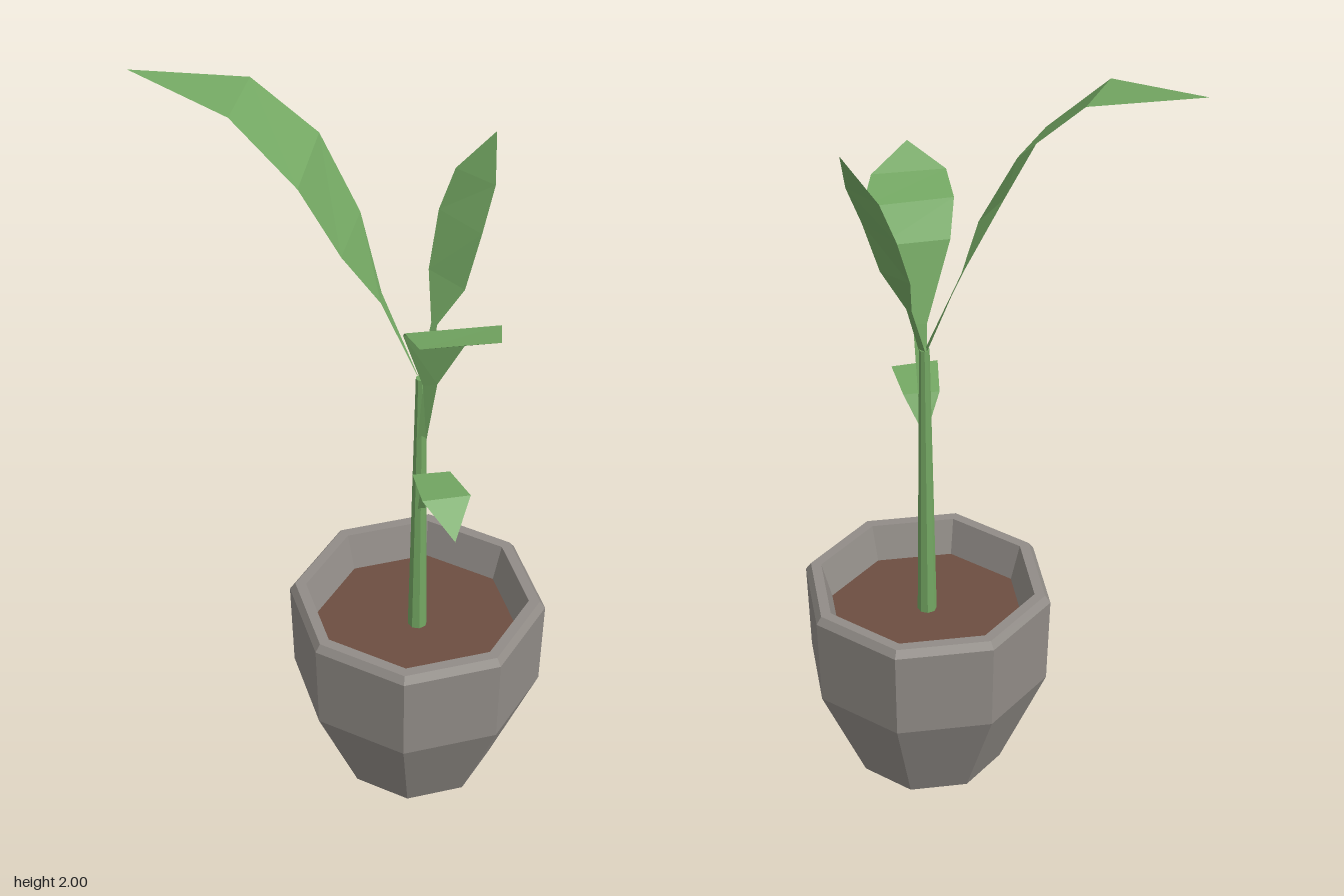
import * as THREE from 'three';

const mat = (name, color, side = THREE.FrontSide) =>
  Object.assign(new THREE.MeshStandardMaterial({ color, flatShading: true, side }), { name });

// Each row is a cross-section from stalk to tip: [right edge, left edge]; a single point closes the blade
function leafGeometry(rows, tip) {
  const sections = [...rows, [tip, tip]];
  const pos = [];
  for (let i = 0; i < sections.length - 1; i++) {
    const [r0, l0] = sections[i];
    const [r1, l1] = sections[i + 1];
    pos.push(...r0, ...r1, ...l0);
    if (r1 !== l1) pos.push(...l0, ...r1, ...l1);
  }
  const g = new THREE.BufferGeometry();
  g.setAttribute('position', new THREE.Float32BufferAttribute(pos, 3));
  g.computeVertexNormals();
  return g;
}

export function createModel() {
  const model = new THREE.Group();
  model.name = 'pottedPlant';
  const potMat = mat('stone grey', 0x918c87);
  const soilMat = mat('soil brown', 0x6d4e41);
  const leafMat = mat('leaf green', 0x74a863, THREE.DoubleSide);

  const add = (name, geometry, material, x = 0, y = 0, z = 0) => {
    const mesh = new THREE.Mesh(geometry, material);
    mesh.name = name;
    mesh.position.set(x, y, z);
    model.add(mesh);
    return mesh;
  };

  // Eight-sided pot with a bevelled rim and an inner wall
  const turn = THREE.MathUtils.degToRad(27);
  const profile = [[0, 0], [0.195, 0], [0.318, 0.285], [0.326, 0.525], [0.312, 0.545], [0.284, 0.545], [0.254, 0.44]]
    .map(([r, y]) => new THREE.Vector2(r, y));
  add('pot', new THREE.LatheGeometry(profile, 8, turn), potMat, 0.153);
  add('soil', new THREE.CylinderGeometry(0.257, 0.255, 0.03, 8).rotateY(turn), soilMat, 0.153, 0.435);

  // Tapered stem
  add('stem', new THREE.CylinderGeometry(0.013, 0.025, 0.79, 8), leafMat, 0.158, 0.835, 0.005);

  // Long drooping leaf on the right
  add('longLeaf', leafGeometry([
    [[0.145, 1.23, 0.0], [0.162, 1.23, 0.016]],
    [[0.065, 1.46, 0.036], [0.08, 1.45, 0.062]],
    [[-0.014, 1.64, 0.006], [0.038, 1.62, 0.163]],
    [[-0.113, 1.83, 0.026], [-0.036, 1.81, 0.225]],
    [[-0.247, 1.97, 0.103], [-0.19, 1.965, 0.267]],
  ], [-0.465, 2.0, 0.27]), leafMat);

  // Upright leaf at the back
  add('backLeaf', leafGeometry([
    [[0.17, 1.22, 0.0], [0.148, 1.22, 0.0]],
    [[0.169, 1.36, -0.046], [0.152, 1.36, -0.046]],
    [[0.222, 1.46, -0.08], [0.113, 1.47, -0.093]],
    [[0.24, 1.6, -0.12], [0.104, 1.605, -0.148]],
    [[0.244, 1.71, -0.168], [0.128, 1.71, -0.18]],
  ], [0.214, 1.82, -0.217]), leafMat);

  // Broad leaf on the left
  add('broadLeaf', leafGeometry([
    [[0.158, 1.04, 0.018], [0.172, 1.04, 0.0]],
    [[0.2, 1.26, 0.063], [0.225, 1.26, 0.04]],
    [[0.2, 1.46, 0.153], [0.32, 1.45, 0.026]],
    [[0.25, 1.53, 0.225], [0.405, 1.515, 0.06]],
    [[0.331, 1.557, 0.289], [0.463, 1.548, 0.157]],
  ], [0.446, 1.605, 0.273]), leafMat);

  // Small low leaf on the left
  add('smallLeaf', leafGeometry([
    [[0.165, 0.84, 0.022], [0.178, 0.84, 0.008]],
    [[0.203, 0.96, 0.07], [0.215, 0.96, 0.05]],
    [[0.21, 1.035, 0.12], [0.275, 1.03, 0.055]],
    [[0.295, 1.053, 0.21], [0.373, 1.045, 0.12]],
  ], [0.4, 0.99, 0.23]), leafMat);

  return model;
}
